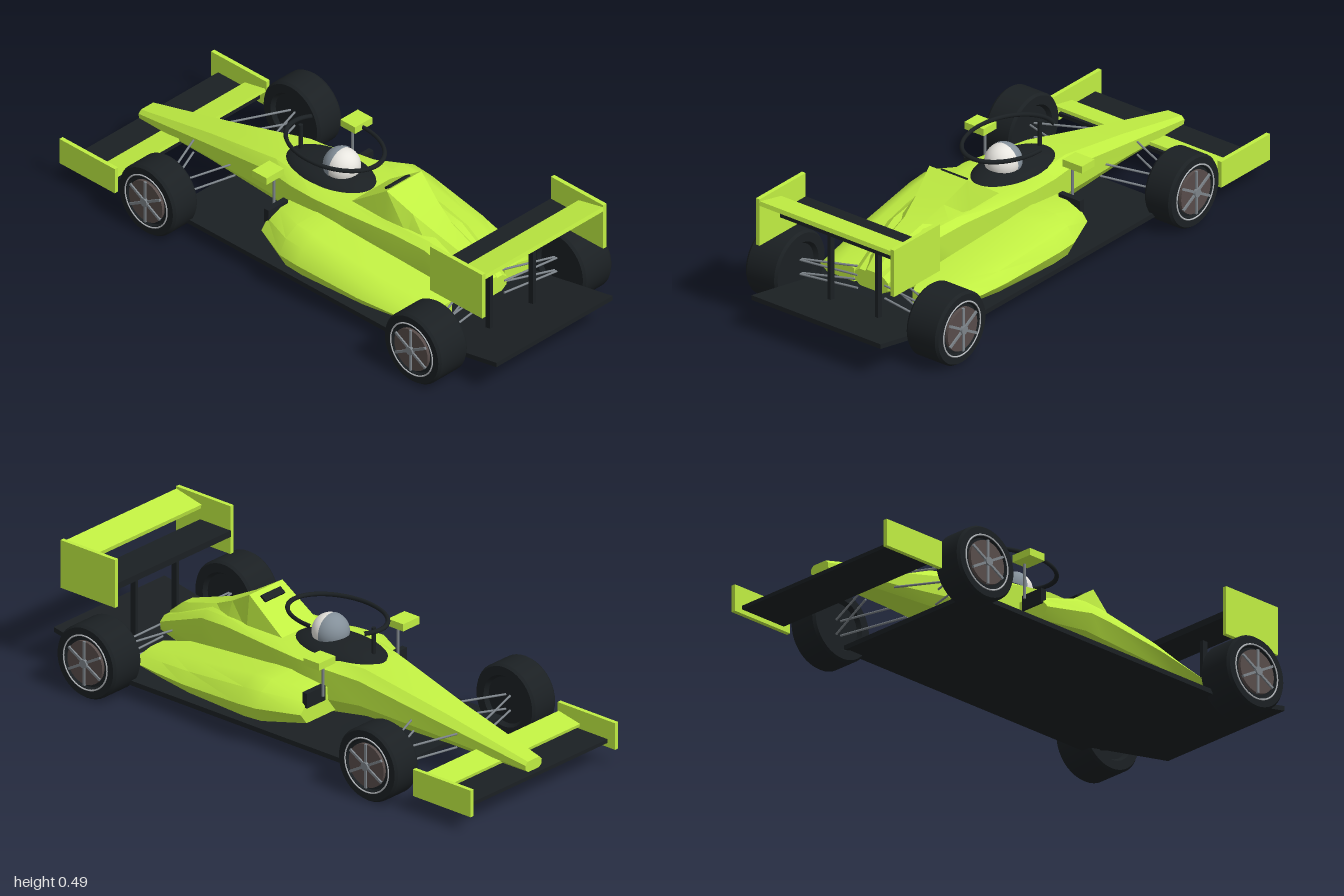
import * as THREE from 'three';
import { toCreasedNormals } from 'three/addons/utils/BufferGeometryUtils.js';

const mat = (color) => new THREE.MeshStandardMaterial({ color });
const lime = mat(0xc0ee42), black = mat(0x1b2023), grey = mat(0x7d848a),
  silver = mat(0xb8bcc0), white = mat(0xe8e6e0), brown = mat(0x574c4a), visorGrey = mat(0x84909a);

function add(parent, name, geometry, material, x = 0, y = 0, z = 0) {
  const mesh = new THREE.Mesh(geometry, material);
  mesh.name = name;
  mesh.position.set(x, y, z);
  parent.add(mesh);
  return mesh;
}

const box = (parent, name, material, w, h, d, x, y, z) =>
  add(parent, name, new THREE.BoxGeometry(w, h, d), material, x, y, z);

// Thin bar between two points
function rod(parent, name, material, a, b, radius) {
  const from = new THREE.Vector3(...a), to = new THREE.Vector3(...b);
  const dir = to.clone().sub(from);
  const mesh = add(parent, name, new THREE.CylinderGeometry(radius, radius, dir.length(), 8), material);
  mesh.position.copy(from).add(to).multiplyScalar(0.5);
  mesh.quaternion.setFromUnitVectors(new THREE.Vector3(0, 1, 0), dir.normalize());
  return mesh;
}

// Skin over closed cross-sections { z, pts }, points counter-clockwise seen from +z
function loft(sections, crease = 0.45) {
  const n = sections[0].pts.length, last = (sections.length - 1) * n;
  const pos = sections.flatMap((s) => s.pts.flatMap(([x, y]) => [x, y, s.z]));
  const index = [];
  for (let i = 0; i < sections.length - 1; i++) {
    for (let j = 0; j < n; j++) {
      const k = (j + 1) % n, a = i * n + j, b = i * n + k;
      index.push(a, b, b + n, a, b + n, a + n);
    }
  }
  for (let j = 1; j < n - 1; j++) {
    index.push(0, j + 1, j, last, last + j, last + j + 1);
  }
  const g = new THREE.BufferGeometry();
  g.setAttribute('position', new THREE.Float32BufferAttribute(pos, 3));
  g.setIndex(index);
  return toCreasedNormals(g, crease);
}

// Completes a right-half outline (bottom to top) by mirroring it
const mirror = (half) => [...half, ...half.map(([x, y]) => [-x, y]).reverse()];

function wheel(parent, name, side, z, inner, outer) {
  const g = new THREE.Group();
  g.name = name;
  g.position.set(side * (inner + outer) / 2, 0.135, z);
  g.rotation.y = side > 0 ? 0 : Math.PI;
  parent.add(g);
  const h = (outer - inner) / 2;
  // Tyre with a recessed outer centre
  const profile = [[0, -h + 0.015], [0.085, -h + 0.015], [0.095, -h], [0.128, -h], [0.135, -h + 0.01],
    [0.135, h - 0.01], [0.128, h], [0.095, h], [0.09, h - 0.01], [0, h - 0.01]];
  const tyre = new THREE.LatheGeometry(profile.map(([r, y]) => new THREE.Vector2(r, y)), 40);
  add(g, 'tyre', toCreasedNormals(tyre, 0.6), black).rotation.z = -Math.PI / 2;
  add(g, 'rimDisc', new THREE.CylinderGeometry(0.08, 0.08, 0.012, 32), brown, h - 0.003).rotation.z = Math.PI / 2;
  add(g, 'rimRing', new THREE.TorusGeometry(0.1, 0.003, 6, 40), silver, h).rotation.y = Math.PI / 2;
  for (let i = 0; i < 3; i++) {
    box(g, 'spokePair', grey, 0.008, 0.165, 0.009, h + 0.005, 0, 0).rotation.x = i * Math.PI / 3;
  }
  add(g, 'hub', new THREE.CylinderGeometry(0.016, 0.016, 0.016, 16), grey, h + 0.006).rotation.z = Math.PI / 2;
}

export function createModel() {
  const car = new THREE.Group();
  car.name = 'openWheelRaceCar';

  // Floor with a rising diffuser: z, half width, underside height
  add(car, 'floor', loft([[-0.53, 0.32, 0.05], [0.62, 0.32, 0.05], [0.71, 0.285, 0.067], [1, 0.285, 0.122]]
    .map(([z, w, y]) => ({ z, pts: mirror([[w, y], [w, y + 0.018]]) })), 0.2), black);

  // Main body: z, waist half width, top half width, bottom, shoulder, top
  add(car, 'body', loft([
    [-0.95, 0.042, 0.03, 0.1, 0.128, 0.14],
    [-0.6, 0.075, 0.05, 0.11, 0.19, 0.218],
    [-0.25, 0.118, 0.085, 0.115, 0.26, 0.295],
    [-0.12, 0.148, 0.1, 0.1, 0.275, 0.298],
    [0, 0.16, 0.11, 0.09, 0.285, 0.298],
    [0.14, 0.152, 0.11, 0.08, 0.288, 0.302],
    [0.35, 0.125, 0.095, 0.08, 0.285, 0.302],
    [0.48, 0.107, 0.08, 0.085, 0.272, 0.295],
    [0.7, 0.075, 0.052, 0.135, 0.18, 0.198],
  ].map(([z, w, wt, yb, ys, yt]) => ({
    z, pts: mirror([[w * 0.65, yb], [w * 0.96, yb + (ys - yb) * 0.35], [w, ys], [wt, yt]]),
  }))), lime);

  // Engine cover and airbox: z, base half width, top half width, top
  add(car, 'engineCover', loft([
    [0.12, 0.1, 0.095, 0.3], [0.28, 0.1, 0.085, 0.413], [0.38, 0.09, 0.06, 0.352],
    [0.47, 0.08, 0.04, 0.308], [0.64, 0.06, 0.025, 0.255], [0.7, 0.05, 0.02, 0.205],
  ].map(([z, w, wt, yt]) => ({ z, pts: mirror([[w, Math.min(0.28, yt - 0.04)], [wt, yt]]) })), 0.3), lime);
  box(car, 'airIntake', black, 0.1, 0.02, 0.028, 0, 0.39, 0.252).rotation.x = -0.6;

  // Cockpit surround, driver and head guard
  add(car, 'cockpit', new THREE.SphereGeometry(1, 40, 20), black, 0, 0.283, -0.065).scale.set(0.112, 0.05, 0.2);
  add(car, 'helmet', new THREE.SphereGeometry(0.064, 32, 20), white, 0, 0.34, -0.015);
  add(car, 'visor', new THREE.SphereGeometry(0.066, 24, 20, 0, Math.PI), visorGrey, 0, 0.34, -0.018).rotation.y = Math.PI;
  const guard = add(car, 'headGuard', new THREE.TorusGeometry(0.17, 0.008, 10, 60, Math.PI * 1.65), black, 0, 0.412, -0.05);
  guard.rotation.x = Math.PI / 2;
  guard.scale.set(0.81, 1.15, 1);
  rod(car, 'headGuardPost', black, [0, 0.27, -0.215], [0, 0.412, -0.215], 0.008);

  for (const s of [1, -1]) {
    const side = new THREE.Group();
    side.name = s > 0 ? 'leftSide' : 'rightSide';
    car.add(side);

    // Sidepod: z, inner edge, outer edge, bottom, top
    add(side, 'sidepod', loft([
      [-0.13, 0.1, 0.28, 0.11, 0.21], [0.02, 0.1, 0.345, 0.095, 0.236], [0.1, 0.1, 0.345, 0.09, 0.23],
      [0.37, 0.09, 0.325, 0.088, 0.19], [0.52, 0.09, 0.3, 0.09, 0.166], [0.635, 0.13, 0.278, 0.095, 0.148],
    ].map(([z, xi, xo, yb, yt]) => {
      const h = yt - yb;
      const pts = [[xi, yb], [xo - 0.03, yb], [xo, yb + h * 0.4], [xo - 0.03, yb + h * 0.78], [xo - 0.085, yt], [xi, yt]];
      return { z, pts: s > 0 ? pts : pts.map(([x, y]) => [-x, y]).reverse() };
    }), 0.6), lime);
    box(side, 'sideInlet', black, 0.095, 0.055, 0.022, s * 0.21, 0.198, -0.128);

    // Mirror
    box(side, 'mirror', lime, 0.085, 0.027, 0.07, s * 0.217, 0.344, -0.16);
    rod(side, 'mirrorStalk', grey, [s * 0.193, 0.2, -0.155], [s * 0.193, 0.335, -0.155], 0.005);

    // Wing end plates and rear wing support
    box(side, 'frontEndPlate', lime, 0.016, 0.1, 0.265, s * 0.372, 0.115, -0.867);
    box(side, 'rearEndPlate', lime, 0.016, 0.18, 0.25, s * 0.297, 0.4, 0.826);
    box(side, 'rearWingStrut', black, 0.014, 0.29, 0.022, s * 0.105, 0.235, 0.79);

    wheel(side, 'frontWheel', s, -0.552, 0.295, 0.413);
    wheel(side, 'rearWheel', s, 0.73, 0.285, 0.425);

    // Wishbones: hub z, inner z positions, inner half width
    for (const [hubZ, zs, xi] of [[-0.555, [-0.66, -0.46], 0.07], [0.72, [0.63, 0.7], 0.06]]) {
      for (const z of zs) {
        for (const [yi, yo] of [[0.17, 0.155], [0.12, 0.1]]) {
          rod(side, 'suspensionArm', grey, [s * xi, yi, z], [s * 0.31, yo, hubZ + (z - hubZ) * 0.1], 0.004);
        }
      }
    }
  }

  // Wing planes
  box(car, 'frontWingPlane', black, 0.735, 0.014, 0.2, 0, 0.088, -0.865);
  box(car, 'frontWingFlap', lime, 0.735, 0.012, 0.1, 0, 0.118, -0.788).rotation.x = -0.2;
  box(car, 'rearWingPlane', black, 0.58, 0.024, 0.14, 0, 0.387, 0.77);
  box(car, 'rearWingFlap', lime, 0.58, 0.016, 0.118, 0, 0.461, 0.893).rotation.x = -0.22;

  return car;
}
